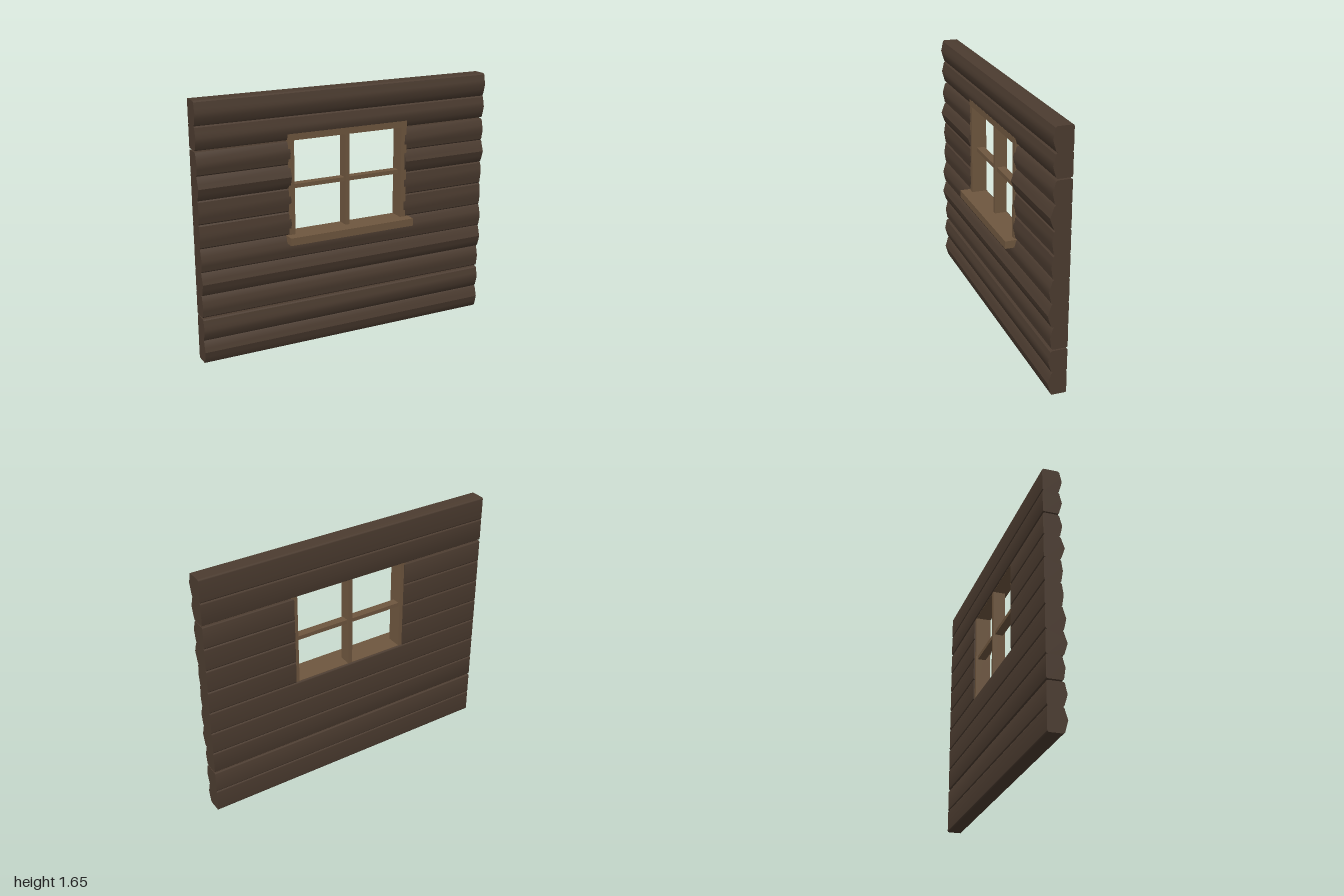
import * as THREE from 'three';
import { toCreasedNormals } from 'three/addons/utils/BufferGeometryUtils.js';

const wood = new THREE.MeshStandardMaterial({ color: 0x4c3c30 });
const trim = new THREE.MeshStandardMaterial({ color: 0x6f573f });

const ROW = 0.15, BACK = -0.087;

// Each log: front depth at bottom, middle and top, and trims of its height
const LOGS = [
  { z: [0.012, 0.031, 0.012] },
  { z: [0.012, 0.032, 0.018], cutTop: 0.005 },
  { z: [0.014, 0.024, 0.008], cutBottom: 0.004 },
  { z: [0.02, 0.041, 0.02] },
  { z: [0.022, 0.037, 0.018] },
  { z: [0.016, 0.026, 0.016] },
  { z: [0.014, 0.025, 0.016] },
  { z: [0.017, 0.041, 0.018] },
  { z: [0.015, 0.029, 0.012], cutTop: 0.005 },
  { z: [0.012, 0.031, 0.016], cutBottom: 0.004 },
  { z: [0.014, 0.034, 0.02] },
];

// Log section: bulging front, rounded back edges; extruded along x
function logGeometry(row, x0, x1) {
  const { z: [zb, zm, zt], cutBottom = 0, cutTop = 0 } = LOGS[row];
  const y0 = row * ROW + cutBottom, y1 = (row + 1) * ROW - cutTop;
  const h = y1 - y0, r = 0.011;
  const s = new THREE.Shape();
  s.moveTo(-BACK - r, y0);
  s.quadraticCurveTo(-BACK, y0, -BACK, y0 + r);
  s.lineTo(-BACK, y1 - r);
  s.quadraticCurveTo(-BACK, y1, -BACK - r, y1);
  s.lineTo(-zt + 0.008, y1);
  s.lineTo(-zt, y1 - 0.008);
  s.lineTo(-(zt * 0.45 + zm * 0.55), y0 + h * 0.7);
  s.lineTo(-zm, y0 + h * 0.52);
  s.lineTo(-(zb * 0.45 + zm * 0.55), y0 + h * 0.3);
  s.lineTo(-zb, y0 + 0.008);
  s.lineTo(-zb + 0.008, y0);
  s.closePath();
  const g = new THREE.ExtrudeGeometry(s, { depth: x1 - x0, bevelEnabled: false, curveSegments: 4 });
  g.rotateY(Math.PI / 2).translate(x0, 0, 0);
  return toCreasedNormals(g, 0.55);
}

export function createModel() {
  const model = new THREE.Group();

  // Log wall, with rows 5 to 8 interrupted by the window
  const wall = new THREE.Group();
  wall.name = 'logWall';
  LOGS.forEach((_, row) => {
    const spans = row >= 5 && row <= 8 ? [[-1, -0.402], [0.402, 1]] : [[-1, 1]];
    for (const [x0, x1] of spans) {
      const log = new THREE.Mesh(logGeometry(row, x0, x1), wood);
      log.name = 'log';
      wall.add(log);
    }
  });
  model.add(wall);

  // Window joinery
  const frame = new THREE.Group();
  frame.name = 'windowFrame';
  const board = (name, x0, x1, y0, y1, z0, z1) => {
    const m = new THREE.Mesh(new THREE.BoxGeometry(x1 - x0, y1 - y0, z1 - z0), trim);
    m.position.set((x0 + x1) / 2, (y0 + y1) / 2, (z0 + z1) / 2);
    m.name = name;
    frame.add(m);
  };
  board('windowSill', -0.436, 0.436, 0.703, 0.752, -0.078, 0.088);
  board('windowHead', -0.417, 0.417, 1.352, 1.393, -0.078, 0.022);
  board('leftJamb', 0.376, 0.415, 0.75, 1.36, -0.078, 0.0215);
  board('rightJamb', -0.415, -0.376, 0.75, 1.36, -0.078, 0.0215);
  board('verticalMuntin', -0.015, 0.015, 0.75, 1.354, -0.078, 0.0);
  board('horizontalMuntin', -0.38, 0.38, 1.04, 1.066, -0.065, -0.012);
  model.add(frame);

  return model;
}
